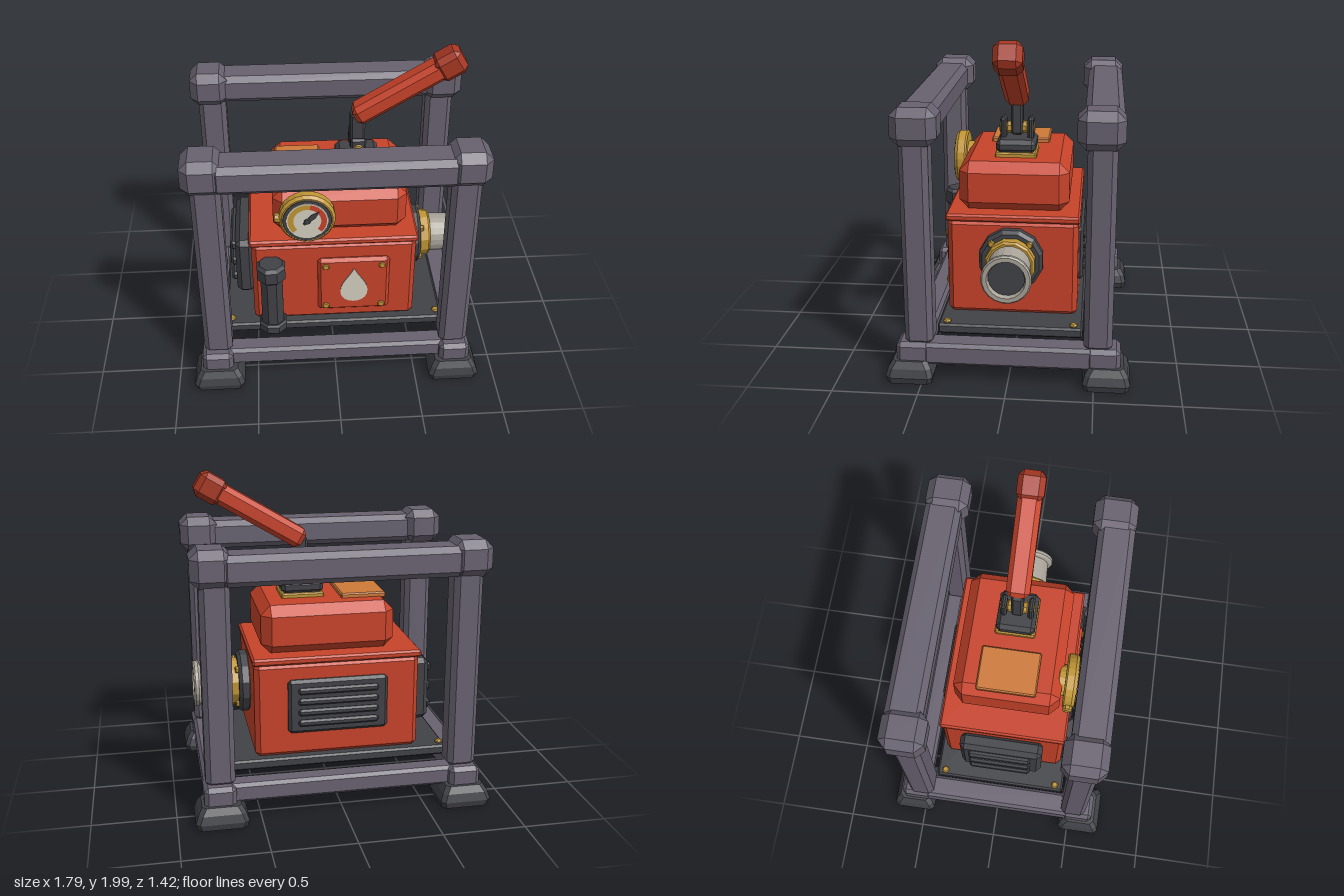
import * as THREE from 'three';
import { ConvexGeometry } from 'three/addons/geometries/ConvexGeometry.js';

const material = (name, color) => {
  const m = new THREE.MeshStandardMaterial({ color });
  m.name = name;
  return m;
};

export function createModel() {
  const model = new THREE.Group();
  model.name = 'framedPump';
  const red = material('body red', 0xc8432a);
  const gripRed = material('grip red', 0xa73722);
  const frameGrey = material('frame grey', 0x686270);
  const dark = material('dark iron', 0x414247);
  const brass = material('brass', 0xc09534);
  const orange = material('plate orange', 0xcd7a38);
  const silver = material('pipe silver', 0xa9a398);
  const cream = material('cream', 0xd6cfc0);

  const add = (name, geo, mat, p = [0, 0, 0], parent = model) => {
    const mesh = new THREE.Mesh(geo, mat);
    mesh.name = name;
    mesh.position.set(...p);
    parent.add(mesh);
    return mesh;
  };
  const flat = (geo) => {
    const g = geo.index ? geo.toNonIndexed() : geo;
    g.computeVertexNormals();
    return g;
  };
  // Box with every edge cut at 45 degrees
  const box = (w, h, d, c) => {
    const pts = [];
    for (const x of [-1, 1]) for (const y of [-1, 1]) for (const z of [-1, 1]) {
      const [a, b, e] = [w / 2, h / 2, d / 2];
      pts.push(new THREE.Vector3(x * a, y * (b - c), z * (e - c)),
        new THREE.Vector3(x * (a - c), y * b, z * (e - c)),
        new THREE.Vector3(x * (a - c), y * (b - c), z * e));
    }
    return new ConvexGeometry(pts);
  };
  // Box part given by its limits on each axis
  const block = (name, mat, x, y, z, c = 0.02, parent = model) =>
    add(name, box(x[1] - x[0], y[1] - y[0], z[1] - z[0], c), mat,
      [(x[0] + x[1]) / 2, (y[0] + y[1]) / 2, (z[0] + z[1]) / 2], parent);
  // Turned part: profile of [radius, distance] along the chosen axis
  const turned = (name, mat, profile, axis, p, sides = 12, parent = model) => {
    const g = new THREE.LatheGeometry(profile.map(q => new THREE.Vector2(...q)), sides);
    g.rotateY(Math.PI / sides);
    if (axis === 'x') g.rotateZ(-Math.PI / 2);
    if (axis === 'z') g.rotateX(Math.PI / 2);
    return add(name, flat(g), mat, p, parent);
  };
  const disc = (r, a, b, c = 0.008) => [[0, a], [r - c, a], [r, a + c], [r, b - c], [r - c, b], [0, b]];

  // Roll cage
  for (const sx of [-1, 1]) {
    for (const sz of [-1, 1]) {
      add('post', box(0.175, 1.24, 0.165, 0.03), frameGrey, [sx * 0.738, 0.84, sz * 0.52]);
      add('topCorner', box(0.24, 0.22, 0.262, 0.05), frameGrey, [sx * 0.752, 1.53, sz * 0.512]);
      add('bottomCorner', box(0.19, 0.135, 0.2, 0.025), frameGrey, [sx * 0.745, 0.17, sz * 0.553]);
      // Splayed rubber foot
      const foot = [];
      for (const [y, w, d] of [[0, 0.145, 0.128], [0.04, 0.157, 0.138], [0.09, 0.14, 0.125], [0.13, 0.115, 0.1]])
        for (const x of [-1, 1]) for (const z of [-1, 1])
          foot.push(new THREE.Vector3(x * w, y, z * (d - 0.025)), new THREE.Vector3(x * (w - 0.025), y, z * d));
      add('foot', new ConvexGeometry(foot), dark, [sx * 0.74, 0, sz * 0.573]);
      turned('deckBolt', brass, disc(0.025, 0, 0.02), 'y', [sx * 0.655, 0.295, sz * 0.375], 6);
    }
    add('sideBeam', box(0.15, 0.135, 1.2, 0.02), frameGrey, [sx * 0.76, 0.168, 0]);
    add('frontBackBeam', box(1.4, 0.12, 0.13, 0.02), frameGrey, [0, 0.17, sx * 0.535]);
    add('topBeam', box(1.4, 0.18, 0.222, 0.035), frameGrey, [0, 1.518, sx * 0.528]);
  }
  block('deck', dark, [-0.69, 0.69], [0.235, 0.297], [-0.43, 0.43], 0.012);

  // Housing
  block('lowerHousing', red, [-0.51, 0.505], [0.29, 0.89], [-0.39, 0.39], 0.03);
  block('flange', red, [-0.523, 0.515], [0.88, 0.925], [-0.4, 0.4], 0.012);
  block('upperHousing', red, [-0.37, 0.446], [0.92, 1.22], [-0.33, 0.33], 0.06);
  block('topPlate', orange, [-0.345, -0.065], [1.21, 1.247], [-0.185, 0.182], 0.008);

  // Front panel with bolts and drop mark
  block('frontPanel', red, [-0.105, 0.342], [0.375, 0.78], [0.37, 0.418], 0.02);
  for (const x of [-0.055, 0.293]) for (const y of [0.42, 0.732])
    turned('panelBolt', brass, disc(0.022, 0, 0.014, 0.005), 'z', [x, y, 0.416], 8);
  const drop = new THREE.Shape();
  drop.moveTo(0, 0.17);
  drop.bezierCurveTo(-0.03, 0.1, -0.085, 0.06, -0.085, -0.01);
  drop.bezierCurveTo(-0.085, -0.12, 0.085, -0.12, 0.085, -0.01);
  drop.bezierCurveTo(0.085, 0.06, 0.03, 0.1, 0, 0.17);
  add('dropMark', new THREE.ExtrudeGeometry(drop, { depth: 0.008, bevelEnabled: false }), cream, [0.12, 0.542, 0.416]);

  // Oil canister
  const canister = [-0.392, 0, 0.45];
  turned('canister', dark, disc(0.073, 0.3, 0.78), 'y', canister, 8);
  turned('canisterBase', dark, disc(0.093, 0.292, 0.362, 0.012), 'y', canister, 8);
  turned('canisterCap', dark, disc(0.093, 0.685, 0.803, 0.02), 'y', canister, 8);

  // Pressure gauge
  const gauge = new THREE.Group();
  gauge.name = 'gauge';
  gauge.position.set(-0.165, 1.09, 0);
  model.add(gauge);
  const at = (z) => [0, 0, z];
  turned('gaugeMount', brass, disc(0.1, 0.3, 0.36), 'z', at(0), 16, gauge);
  turned('gaugeRim', brass, [[0, 0.345], [0.16, 0.345], [0.17, 0.355], [0.17, 0.4], [0.155, 0.419], [0, 0.419]], 'z', at(0), 24, gauge);
  turned('gaugeRing', dark, disc(0.147, 0.414, 0.422, 0.002), 'z', at(0), 24, gauge);
  turned('gaugeFace', cream, disc(0.127, 0.418, 0.425, 0.001), 'z', at(0), 24, gauge);
  add('gaugeArc', new THREE.RingGeometry(0.083, 0.117, 20, 1, 1.4, 2.5), brass, at(0.4265), gauge);
  add('gaugeRedArc', new THREE.RingGeometry(0.083, 0.117, 16, 1, -0.75, 2.15), red, at(0.4265), gauge);
  const needle = new THREE.Shape([[-0.03, -0.008], [0.05, -0.017], [0.1, 0], [0.05, 0.017], [-0.03, 0.008]].map(q => new THREE.Vector2(...q)));
  add('needle', new THREE.ExtrudeGeometry(needle, { depth: 0.005, bevelEnabled: false }), dark, at(0.427), gauge).rotation.z = 0.75;
  turned('needleHub', dark, disc(0.02, 0.425, 0.434, 0.003), 'z', at(0), 12, gauge);
  turned('gaugeKnob', brass, disc(0.03, 0, 0.05), 'x', [-0.2, 0, 0.38], 8, gauge);

  // Side vent
  block('sideVent', dark, [-0.615, -0.5], [0.415, 0.82], [-0.265, 0.265], 0.03);
  for (const y of [0.495, 0.617, 0.742])
    block('sideVentSlat', dark, [-0.647, -0.6], [y - 0.03, y + 0.03], [-0.205, 0.195], 0.014);

  // Back vent
  block('backVent', dark, [-0.31, 0.305], [0.445, 0.785], [-0.418, -0.37], 0.018);
  for (let i = 0; i < 4; i++)
    block('backVentSlat', dark, [-0.25, 0.245], [0.492 + i * 0.068, 0.534 + i * 0.068], [-0.435, -0.405], 0.012);

  // Outlet pipe
  const outlet = [0, 0.66, 0.005];
  turned('outletFlange', dark, disc(0.195, 0.49, 0.572, 0.02), 'x', outlet, 12);
  turned('outletCollar', brass, disc(0.15, 0.56, 0.638, 0.012), 'x', outlet, 12);
  turned('outletPipe', silver, [[0.125, 0.62], [0.125, 0.66], [0.118, 0.8], [0.137, 0.808], [0.146, 0.818],
    [0.146, 0.838], [0.137, 0.848], [0.112, 0.848], [0.105, 0.83], [0.105, 0.8]], 'x', outlet, 20);
  turned('outletBore', dark, [[0.107, 0.8], [0.107, 0.815], [0, 0.815]], 'x', outlet, 20);
  for (const y of [-0.112, 0.112]) for (const z of [-0.112, 0.112])
    turned('outletBolt', brass, disc(0.022, 0.565, 0.592, 0.006), 'x', [0, 0.66 + y, 0.005 + z], 6);

  // Lever mount
  block('mountPlate', brass, [0.03, 0.296], [1.21, 1.247], [-0.125, 0.125], 0.008);
  block('mountBase', dark, [0.032, 0.294], [1.24, 1.322], [-0.12, 0.12], 0.025);
  for (const s of [-1, 1])
    add('mountBracket', box(0.095, 0.14, 0.036, 0.012), dark, [0.163, 1.372, s * 0.083]);
  turned('pivotPin', brass, disc(0.032, -0.108, 0.108, 0.006), 'z', [0.163, 1.377, 0], 8);
  turned('pivotSleeve', brass, disc(0.038, -0.062, 0.062, 0.006), 'z', [0.163, 1.377, 0], 8);
  block('leverNeck', dark, [0.117, 0.209], [1.335, 1.58], [-0.037, 0.037], 0.014);

  // Lever and grip
  const lever = new THREE.Group();
  lever.name = 'lever';
  lever.position.set(0.155, 1.565, 0);
  lever.rotation.z = 0.54;
  model.add(lever);
  block('leverArm', red, [-0.012, 0.62], [-0.063, 0.063], [-0.071, 0.071], 0.03, lever);
  block('leverGrip', gripRed, [0.548, 0.725], [-0.08, 0.08], [-0.081, 0.081], 0.033, lever);

  return model;
}
